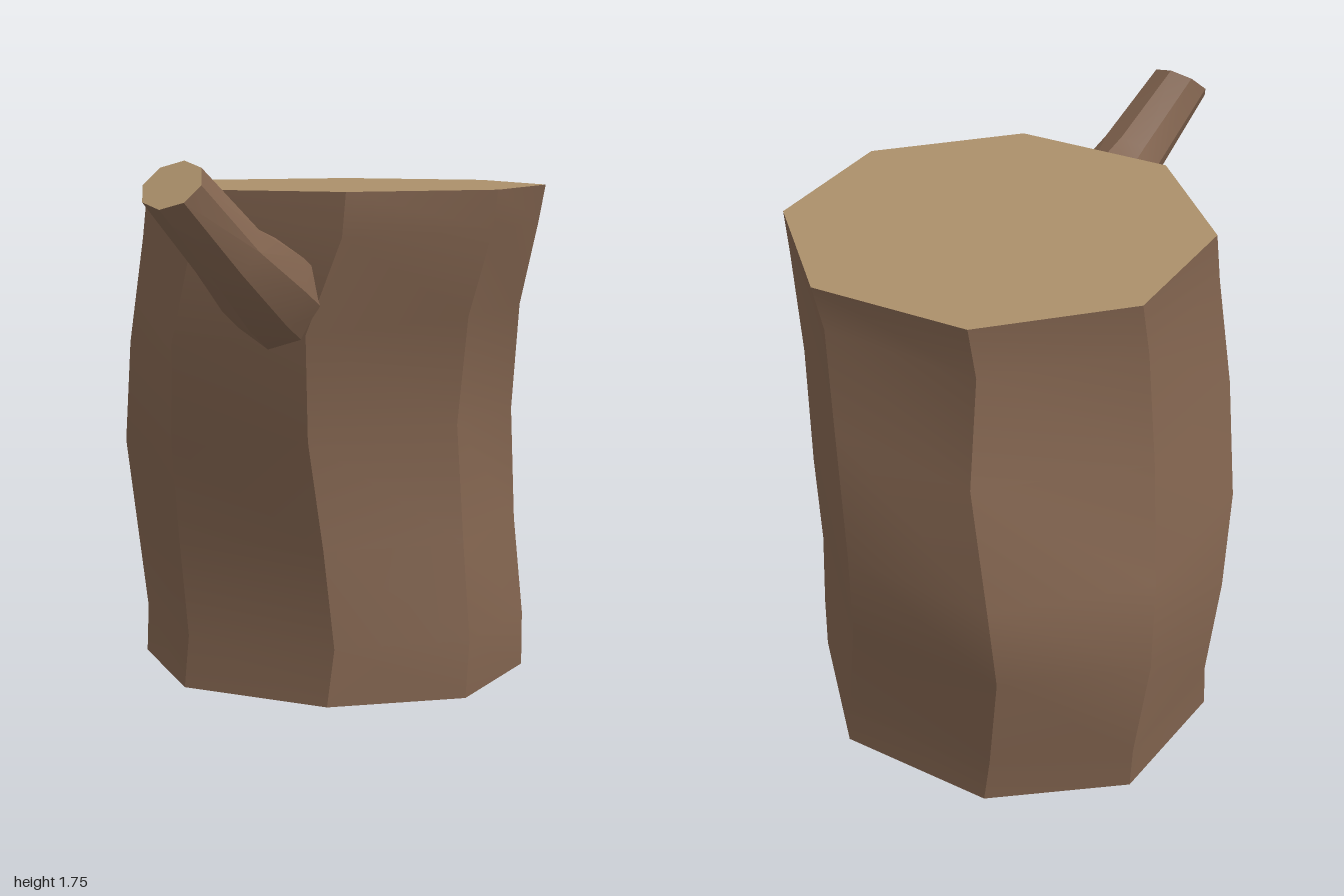
import * as THREE from 'three';
import { toCreasedNormals } from 'three/addons/utils/BufferGeometryUtils.js';

const bark = new THREE.MeshStandardMaterial({ color: 0x82644f });
bark.name = 'bark';
const wood = new THREE.MeshStandardMaterial({ color: 0xab906a });
wood.name = 'cut wood';

function mesh(name, points, index, material) {
  let geometry = new THREE.BufferGeometry().setFromPoints(points);
  geometry.setIndex(index);
  // sharp ridges around the stem, soft bends along it
  geometry = toCreasedNormals(geometry, 0.6);
  const m = new THREE.Mesh(geometry, material);
  m.name = name;
  return m;
}

// Skin joining a stack of rings
function loft(name, rings) {
  const n = rings[0].length;
  const index = [];
  for (let r = 0; r < rings.length - 1; r++) {
    for (let i = 0; i < n; i++) {
      const a = r * n + i, b = r * n + (i + 1) % n;
      index.push(a, a + n, b + n, a, b + n, b);
    }
  }
  return mesh(name, rings.flat(), index, bark);
}

// Flat sawn face closing a ring
function cap(name, ring, down = false) {
  const index = [];
  for (let i = 1; i < ring.length - 1; i++) {
    if (down) index.push(0, i, i + 1);
    else index.push(0, i + 1, i);
  }
  return mesh(name, ring, index, wood);
}

// Trunk sections: centre, lean along x and z, and half of a point-symmetric octagon
const trunkSections = [
  { c: [-0.01, 0.01, -0.31], lean: [0, 0], half: [[0.66, -0.04], [0.53, 0.43], [0.11, 0.63], [-0.40, 0.49]] },
  { c: [-0.01, 0.18, -0.32], lean: [0.02, 0.02], half: [[0.66, -0.03], [0.54, 0.43], [0.13, 0.62], [-0.39, 0.48]] },
  { c: [-0.05, 0.51, -0.35], lean: [0, 0], half: [[0.66, -0.07], [0.55, 0.41], [0.13, 0.63], [-0.38, 0.51]] },
  { c: [-0.06, 0.83, -0.335], lean: [0.09, 0.05], half: [[0.645, -0.175], [0.53, 0.355], [0.10, 0.665], [-0.367, 0.585]] },
  { c: [-0.02, 1.19, -0.26], lean: [0.10, 0.03], half: [[0.635, -0.20], [0.53, 0.33], [0.07, 0.67], [-0.39, 0.56]] },
  { c: [0.04, 1.51, -0.21], lean: [0.04, 0.01], half: [[0.645, -0.155], [0.555, 0.35], [0.13, 0.65], [-0.37, 0.55]] },
  { c: [0.055, 1.66, -0.22], lean: [0, 0], half: [[0.655, -0.12], [0.555, 0.37], [0.125, 0.65], [-0.385, 0.55]] },
];

function trunkRing({ c, lean, half }) {
  const outline = [...half, ...half.map(([x, z]) => [-x, -z])];
  return outline.map(([x, z]) => new THREE.Vector3(
    c[0] + x, c[1] + lean[0] * x + lean[1] * z, c[2] + z));
}

// Branch sections: centre, direction, radius
const branchSections = [
  { c: [-0.045, 1.29, 0.27], dir: [-0.05, 0.35, 0.93], r: 0.155 },
  { c: [-0.06, 1.38, 0.515], dir: [-0.12, 0.30, 0.93], r: 0.15 },
  { c: [-0.115, 1.495, 0.73], dir: [-0.25, 0.62, 0.75], r: 0.112 },
  { c: [-0.23, 1.695, 0.92], dir: [-0.20, 0.72, 0.66], r: 0.098 },
];

function branchRing({ c, dir, r }) {
  const centre = new THREE.Vector3(...c);
  const n = new THREE.Vector3(...dir).normalize();
  const u = new THREE.Vector3(1, 0, 0).addScaledVector(n, -n.x).normalize();
  const v = new THREE.Vector3().crossVectors(u, n);
  return Array.from({ length: 8 }, (_, i) => {
    const a = i * Math.PI / 4 + 0.2;
    return centre.clone()
      .addScaledVector(u, r * Math.cos(a))
      .addScaledVector(v, r * Math.sin(a));
  });
}

export function createModel() {
  const model = new THREE.Group();
  model.name = 'treeStump';

  const trunk = trunkSections.map(trunkRing);
  model.add(
    loft('trunkBark', trunk),
    cap('trunkTop', trunk[trunk.length - 1]),
    cap('trunkBottom', trunk[0], true),
  );

  const branch = branchSections.map(branchRing);
  model.add(
    loft('branchBark', branch),
    cap('branchTip', branch[branch.length - 1]),
  );
  return model;
}
